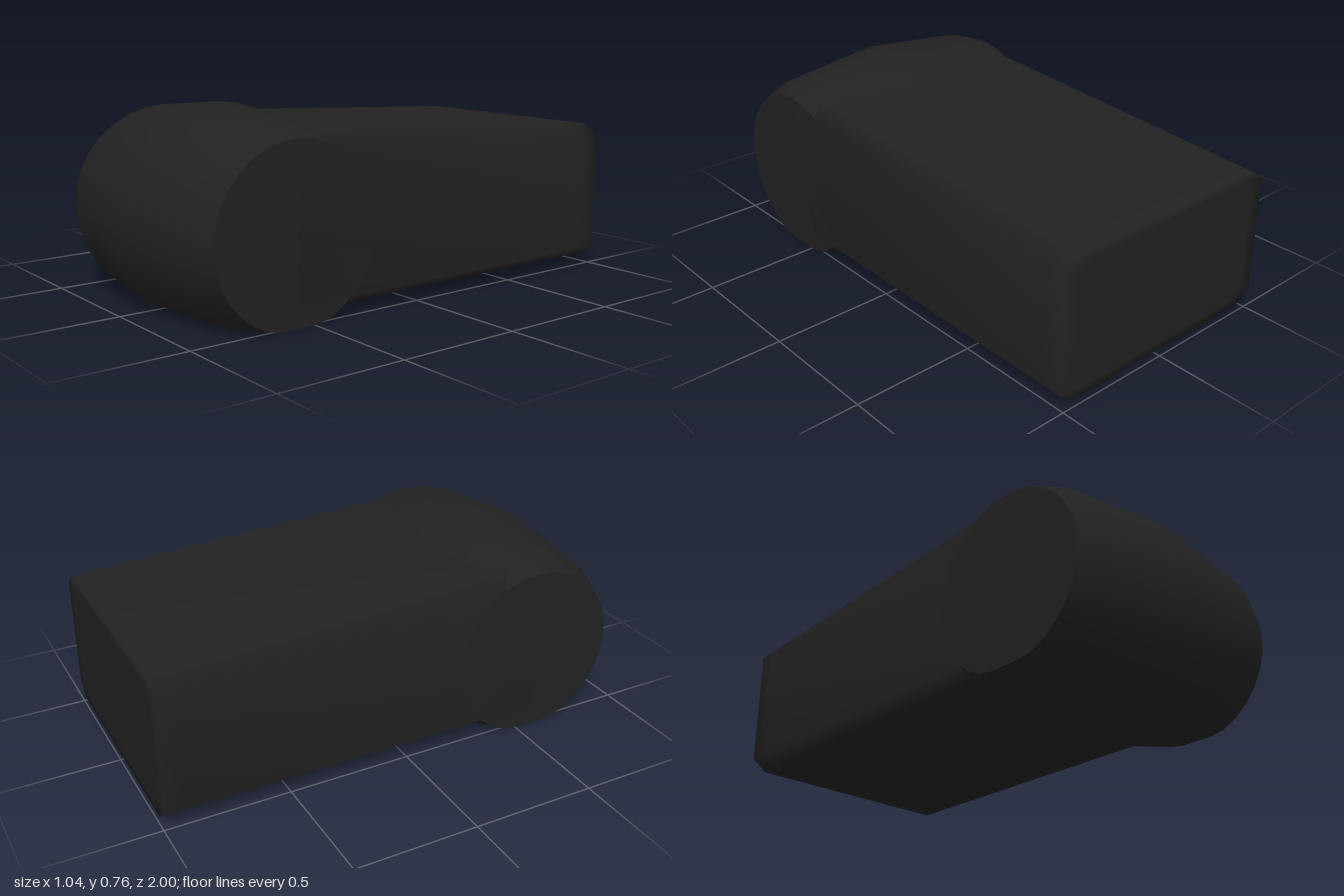
import * as THREE from 'three';
import { toCreasedNormals } from 'three/addons/utils/BufferGeometryUtils.js';

const HALF_WIDTH = 0.52;

// Crowned roller lying along x, with its underside cut flat on the ground
function makeRoller() {
  const profile = [
    [0, -HALF_WIDTH], [0.345, -HALF_WIDTH], [0.385, -0.42], [0.43, 0],
    [0.385, 0.42], [0.345, HALF_WIDTH], [0, HALF_WIDTH],
  ].map(([r, y]) => new THREE.Vector2(r, y));
  const geometry = new THREE.LatheGeometry(profile, 32);
  geometry.rotateZ(Math.PI / 2).translate(0, 0.33, 0.57);
  const pos = geometry.attributes.position;
  for (let i = 0; i < pos.count; i++) pos.setY(i, Math.max(0, pos.getY(i)));
  return toCreasedNormals(geometry, 0.55);
}

// Long tapering block with chamfered lengthwise edges, closed at the back
function makeBody() {
  const bottom = 0.035, cx = 0.065, cy = 0.045;
  // each ring: z position, scale about the section centre
  const rings = [[0.57, 1], [0.3, 1], [-0.92, 1], [-1, 1], [-1, 0.88], [-1, 0]];
  const positions = [], indices = [];
  for (const [z, scale] of rings) {
    const top = 0.658 + 0.053 * z, mid = (top + bottom) / 2;
    const w = HALF_WIDTH, n = w - cx;
    const section = [
      [-n, bottom], [n, bottom], [w, bottom + cy], [w, top - cy],
      [n, top], [-n, top], [-w, top - cy], [-w, bottom + cy],
    ];
    for (const [x, y] of section) positions.push(x * scale, mid + (y - mid) * scale, z);
  }
  for (let i = 0; i < rings.length - 1; i++) {
    for (let j = 0; j < 8; j++) {
      const a = i * 8 + j, b = i * 8 + (j + 1) % 8;
      indices.push(a, a + 8, b, b, a + 8, b + 8);
    }
  }
  const geometry = new THREE.BufferGeometry();
  geometry.setAttribute('position', new THREE.Float32BufferAttribute(positions, 3));
  geometry.setIndex(indices);
  geometry.computeVertexNormals();
  return geometry;
}

export function createModel() {
  const group = new THREE.Group();
  const material = new THREE.MeshStandardMaterial({ color: 0x222222 });
  const parts = { roller: makeRoller(), body: makeBody() };
  for (const [name, geometry] of Object.entries(parts)) {
    const mesh = new THREE.Mesh(geometry, material);
    mesh.name = name;
    group.add(mesh);
  }
  return group;
}
